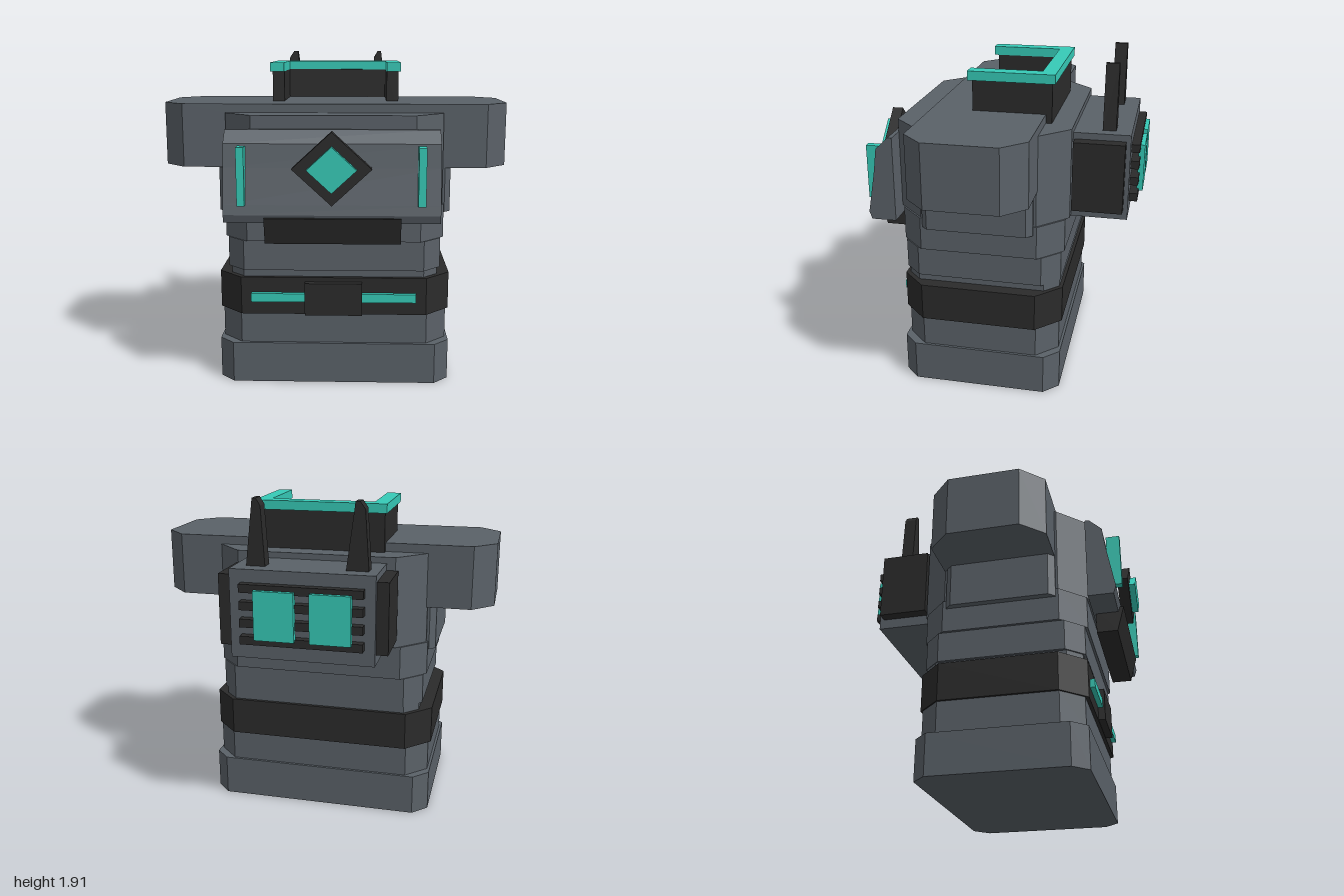
import * as THREE from 'three';

const grey = new THREE.MeshStandardMaterial({ color: 0x5a6168 });
grey.name = 'armourGrey';
const dark = new THREE.MeshStandardMaterial({ color: 0x2b2b2b });
dark.name = 'trimBlack';
const teal = new THREE.MeshStandardMaterial({ color: 0x36cab7 });
teal.name = 'glowTeal';

export function createModel() {
  const group = new THREE.Group();

  const add = (name, geometry, material) => {
    const mesh = new THREE.Mesh(geometry, material);
    mesh.name = name;
    group.add(mesh);
    return mesh;
  };

  // Box given by its limits on each axis
  const box = (name, material, [x0, x1], [y0, y1], [z0, z1]) => {
    const g = new THREE.BoxGeometry(x1 - x0, y1 - y0, z1 - z0);
    g.translate((x0 + x1) / 2, (y0 + y1) / 2, (z0 + z1) / 2);
    return add(name, g, material);
  };

  const polygon = (points) => new THREE.Shape(points.map(([x, y]) => new THREE.Vector2(x, y)));
  const extrude = (points, depth) =>
    new THREE.ExtrudeGeometry(polygon(points), { depth, bevelEnabled: false });

  // Plan outline in (x, z) raised from y0 to y1
  const raise = (name, material, plan, y0, y1) => {
    const g = extrude(plan.map(([x, z]) => [x, -z]), y1 - y0);
    g.rotateX(-Math.PI / 2);
    g.translate(0, y0, 0);
    return add(name, g, material);
  };

  // Block with cut vertical corners
  const tier = (name, material, hx, [y0, y1], [z0, z1], c) =>
    raise(name, material, [
      [-hx + c, z0], [hx - c, z0], [hx, z0 + c], [hx, z1 - c],
      [hx - c, z1], [-hx + c, z1], [-hx, z1 - c], [-hx, z0 + c],
    ], y0, y1);

  // Side profile in (z, y) swept along x
  const sweep = (name, material, profile, x0, x1) => {
    const g = extrude(profile.map(([z, y]) => [-z, y]), x1 - x0);
    g.rotateY(Math.PI / 2);
    g.translate(x0, 0, 0);
    return add(name, g, material);
  };

  // Stacked torso
  tier('hipBase', grey, 0.675, [0, 0.24], [-0.4, 0.55], 0.085);
  tier('lowerWaist', grey, 0.66, [0.24, 0.42], [-0.385, 0.53], 0.12);
  tier('belt', dark, 0.675, [0.42, 0.64], [-0.4, 0.55], 0.14);
  tier('waistGroove', grey, 0.6, [0.64, 0.68], [-0.38, 0.525], 0.08);
  tier('upperWaist', grey, 0.618, [0.68, 0.855], [-0.385, 0.54], 0.1);
  tier('ribs', grey, 0.635, [0.855, 1.05], [-0.4, 0.555], 0.14);
  tier('chest', grey, 0.625, [1.05, 1.575], [-0.42, 0.577], 0.165);
  tier('armpits', grey, 0.675, [1.0, 1.26], [-0.24, 0.4], 0.035);
  tier('shoulders', grey, 1, [1.26, 1.625], [-0.26, 0.4], 0.125);

  // Belt buckle and lights
  box('buckle', dark, [-0.165, 0.165], [0.425, 0.615], [0.54, 0.59]);
  for (const s of [-1, 1]) {
    const ends = [s * 0.165, s * 0.475].sort((a, b) => a - b);
    box('beltLight', teal, ends, [0.5, 0.55], [0.54, 0.578]);
  }

  // Sloped chest plate and the vent beneath it
  sweep('chestPlate', grey, [
    [0.575, 1.0], [0.72, 1.0], [0.735, 1.045], [0.725, 1.1],
    [0.69, 1.3], [0.673, 1.43], [0.6, 1.5], [0.575, 1.5],
  ], -0.6, 0.59);
  sweep('chestVent', dark, [
    [0.59, 0.88], [0.71, 0.88], [0.752, 1.03], [0.59, 1.03],
  ], -0.375, 0.375);

  // Diamond emblem and chest lights
  const diamond = (name, material, rx, ry, z0, z1) => {
    const g = extrude([[0, -ry], [rx, 0], [0, ry], [-rx, 0]], z1 - z0);
    g.translate(-0.003, 1.305, z0);
    add(name, g, material);
  };
  diamond('diamondFrame', dark, 0.217, 0.2, 0.71, 0.775);
  diamond('diamondLight', teal, 0.135, 0.125, 0.77, 0.812);
  for (const x of [-0.497, 0.485]) {
    box('chestLight', teal, [x - 0.021, x + 0.021], [1.1, 1.42], [0.685, 0.763]);
  }

  // Collar, open at the front
  const collar = (name, material, hx, z0, z1, t, y0, y1) =>
    raise(name, material, [
      [-hx, z0], [hx, z0], [hx, z1], [hx - t, z1],
      [hx - t, z0 + t], [-hx + t, z0 + t], [-hx + t, z1], [-hx, z1],
    ], y0, y1);
  collar('collarWall', dark, 0.375, -0.295, 0.16, 0.07, 1.57, 1.8);
  collar('collarRim', teal, 0.388, -0.312, 0.185, 0.083, 1.8, 1.853);

  // Backpack with side plates, slats and glowing panels
  box('backpack', grey, [-0.41, 0.4], [1.04, 1.54], [-0.74, -0.4]);
  box('packSidePlate', dark, [-0.477, -0.4], [1.1, 1.503], [-0.715, -0.428]);
  box('packSidePlate', dark, [0.39, 0.472], [1.1, 1.503], [-0.715, -0.428]);
  for (let i = 0; i < 4; i++) {
    const y = 1.13 + i * 0.097;
    box('packSlat', dark, [-0.352, 0.333], [y, y + 0.047], [-0.788, -0.73]);
  }
  for (const [x0, x1] of [[-0.292, -0.065], [0.02, 0.245]]) {
    box('packPanel', teal, [x0, x1], [1.165, 1.44], [-0.812, -0.776]);
  }

  // Tapered antennas
  for (const [x0, x1] of [[-0.355, -0.228], [0.222, 0.332]]) {
    const w = x1 - x0;
    const g = extrude([
      [x0, 1.53], [x1, 1.53], [x1 - w * 0.4, 1.91],
      [x1 - w * 0.6, 1.91], [x0 + w * 0.18, 1.87],
    ], 0.075);
    g.translate(0, 0, -0.65);
    add('antenna', g, dark);
  }

  return group;
}
